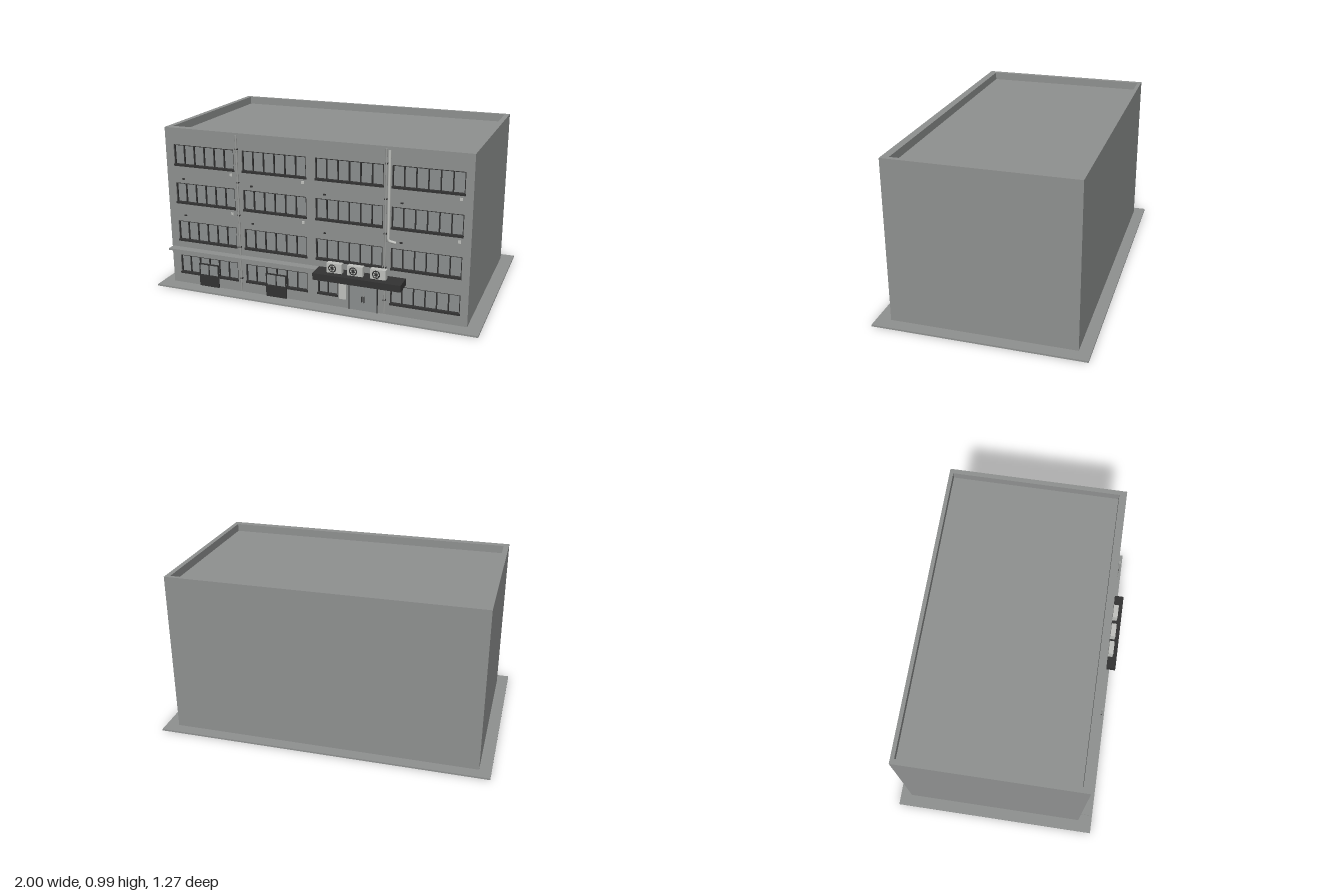
import * as THREE from 'three';

const mat = (name, color, side = THREE.FrontSide) => {
  const m = new THREE.MeshStandardMaterial({ color, side });
  m.name = name;
  return m;
};

export function createModel() {
  const model = new THREE.Group();
  model.name = 'officeBuilding';
  const concrete = mat('concrete', 0x8f9190);
  const glass = mat('glass', 0x8b8e8e);
  const dark = mat('darkMetal', 0x333333);
  const light = mat('lightCasing', 0xbfc1bd);
  const pipeGrey = mat('pipeGrey', 0x9a9c9a);

  const add = (name, geo, m, parent = model) => {
    const mesh = new THREE.Mesh(geo, m);
    mesh.name = name;
    parent.add(mesh);
    return mesh;
  };
  // Box given by its minimum and maximum corners
  const box = (name, x0, x1, y0, y1, z0, z1, m, parent) => {
    const b = add(name, new THREE.BoxGeometry(x1 - x0, y1 - y0, z1 - z0), m, parent);
    b.position.set((x0 + x1) / 2, (y0 + y1) / 2, (z0 + z1) / 2);
    return b;
  };
  const rectPath = (x0, x1, y0, y1, Type = THREE.Path) =>
    new Type([[x0, y0], [x1, y0], [x1, y1], [x0, y1]].map(p => new THREE.Vector2(...p)));

  // Building limits
  const L = -0.93, R = 0.922, F = 0.525, B = -0.565, ROOF = 0.945, TOP = 0.993, WALL = 0.505;

  box('groundSlab', -1, 1, 0, 0.01, -0.635, 0.61, concrete);
  box('mainBlock', L, R, 0.01, ROOF, B, WALL, concrete);

  // Parapet ring round the roof
  const ring = rectPath(L, R, -F, -B, THREE.Shape);
  ring.holes.push(rectPath(-0.898, 0.893, -0.48, 0.542));
  const parapet = add('parapet', new THREE.ExtrudeGeometry(ring, { depth: TOP - ROOF, bevelEnabled: false }), concrete);
  parapet.rotation.x = -Math.PI / 2;
  parapet.position.y = ROOF;

  // Window openings, four bays by four floors
  const bays = [[-0.877, -0.481], [-0.428, -0.028], [0.027, 0.428], [0.476, 0.877]];
  const floors = [[0.075, 0.193], [0.289, 0.417], [0.53, 0.658], [0.765, 0.893]];
  const windows = [];
  floors.forEach(([y0, y1], f) => bays.forEach(([x0, x1], b) => {
    const short = f === 0 && b === 2;
    windows.push(short ? { x0: 0.037, x1: 0.16, y0, y1, n: 2 } : { x0, x1, y0, y1, n: 6 });
  }));

  // Front wall with recessed openings
  const front = rectPath(L, R, 0.01, ROOF, THREE.Shape);
  windows.forEach(w => front.holes.push(rectPath(w.x0, w.x1, w.y0, w.y1)));
  const facade = add('frontWall', new THREE.ExtrudeGeometry(front, { depth: F - WALL, bevelEnabled: false }), concrete);
  facade.position.z = WALL;

  // Windows: glass, frame, mullions and sill
  for (const { x0, x1, y0, y1, n } of windows) {
    const g = new THREE.Group();
    g.name = 'window';
    model.add(g);
    box('glassPane', x0, x1, y0, y1, WALL, WALL + 0.004, glass, g);
    for (let i = 0; i <= n; i++) {
      const x = Math.min(Math.max(x0 + (x1 - x0) * i / n, x0 + 0.003), x1 - 0.003);
      box('mullion', x - 0.003, x + 0.003, y0, y1, WALL, WALL + 0.014, dark, g);
    }
    box('topFrame', x0, x1, y1 - 0.006, y1, WALL, WALL + 0.014, dark, g);
    box('sill', x0 - 0.002, x1 + 0.002, y0 - 0.003, y0 + 0.009, WALL, F + 0.005, dark, g);
  }

  // Two side entrances: solid dark lower half, framed upper half
  for (const x of [-0.679, -0.228]) {
    const g = new THREE.Group();
    g.name = 'sideEntrance';
    model.add(g);
    box('lowerPanel', x - 0.066, x + 0.066, 0.01, 0.08, F, F + 0.008, dark, g);
    box('doorGlass', x - 0.064, x + 0.064, 0.08, 0.155, F, F + 0.003, glass, g);
    box('transom', x - 0.066, x + 0.066, 0.15, 0.157, F, F + 0.008, dark, g);
    for (const dx of [-0.063, 0, 0.063])
      box('doorPost', x + dx - 0.003, x + dx + 0.003, 0.08, 0.155, F, F + 0.008, dark, g);
  }

  // Main double door under the awning
  const door = new THREE.Group();
  door.name = 'mainDoor';
  model.add(door);
  box('doorLeaves', 0.233, 0.402, 0.01, 0.2, F, F + 0.004, glass, door);
  for (const x of [0.233, 0.402]) box('doorJamb', x - 0.003, x + 0.003, 0.01, 0.203, F, F + 0.007, dark, door);
  box('doorHead', 0.23, 0.405, 0.198, 0.204, F, F + 0.007, dark, door);
  box('doorSeam', 0.317, 0.319, 0.01, 0.198, F, F + 0.005, concrete, door);
  for (const x of [0.311, 0.325]) box('doorHandle', x - 0.002, x + 0.002, 0.065, 0.1, F, F + 0.012, dark, door);
  box('signBoard', 0.172, 0.214, 0.065, 0.192, F, F + 0.008, light);

  // Canopies
  box('ledge', -0.925, 0.05, 0.235, 0.246, F - 0.005, 0.576, concrete);
  box('awning', 0.048, 0.567, 0.207, 0.247, F - 0.005, 0.633, dark);

  // Air conditioners standing on the awning
  for (const x of [0.168, 0.293, 0.428]) {
    const unit = new THREE.Group();
    unit.name = 'airConditioner';
    unit.position.set(x, 0.247, 0.588);
    model.add(unit);
    for (const s of [-1, 1]) box('foot', s * 0.03 - 0.005, s * 0.03 + 0.005, 0, 0.006, -0.014, 0.014, dark, unit);
    box('casing', -0.045, 0.045, 0.005, 0.062, -0.016, 0.016, light, unit);
    const fan = add('fanGrille', new THREE.TorusGeometry(0.021, 0.003, 6, 24), dark, unit);
    fan.position.set(-0.01, 0.033, 0.017);
    const hub = add('fanHub', new THREE.CylinderGeometry(0.009, 0.009, 0.004, 16), dark, unit);
    hub.rotation.x = Math.PI / 2;
    hub.position.set(-0.01, 0.033, 0.017);
    for (let i = 0; i < 3; i++) {
      const blade = box('fanBlade', -0.012, -0.008, 0.013, 0.053, 0.015, 0.018, dark, unit);
      blade.rotation.z = i * Math.PI / 3;
    }
  }

  // Downpipes with brackets
  for (const x of [-0.457, 0.445]) {
    const pipe = add('downpipe', new THREE.CylinderGeometry(0.006, 0.006, 0.96, 12), pipeGrey);
    pipe.position.set(x, 0.5, F + 0.007);
    for (const y of [0.1, 0.3, 0.5, 0.7, 0.9])
      box('pipeBracket', x - 0.008, x + 0.008, y - 0.004, y + 0.004, F, F + 0.012, dark);
  }
  const bend = new THREE.CurvePath();
  const v = (x, y) => new THREE.Vector3(x, y, F + 0.008);
  bend.add(new THREE.LineCurve3(v(0.463, 0.978), v(0.463, 0.475)));
  bend.add(new THREE.QuadraticBezierCurve3(v(0.463, 0.475), v(0.463, 0.457), v(0.48, 0.457)));
  bend.add(new THREE.LineCurve3(v(0.48, 0.457), v(0.508, 0.452)));
  add('ventDuct', new THREE.TubeGeometry(bend, 80, 0.008, 12), light);

  // Small wall fittings below the windows
  for (const y of [0.742, 0.503]) for (const [, x1] of bays)
    if (x1 !== 0.428) box('wallVent', x1 - 0.027, x1 - 0.011, y - 0.008, y + 0.008, F, F + 0.006, light);
  for (const y of [0.685, 0.456]) for (const x of [-0.82, -0.37, 0.085, 0.535])
    box('wallSpout', x - 0.007, x + 0.007, y - 0.004, y + 0.004, F, F + 0.008, dark);

  return model;
}
